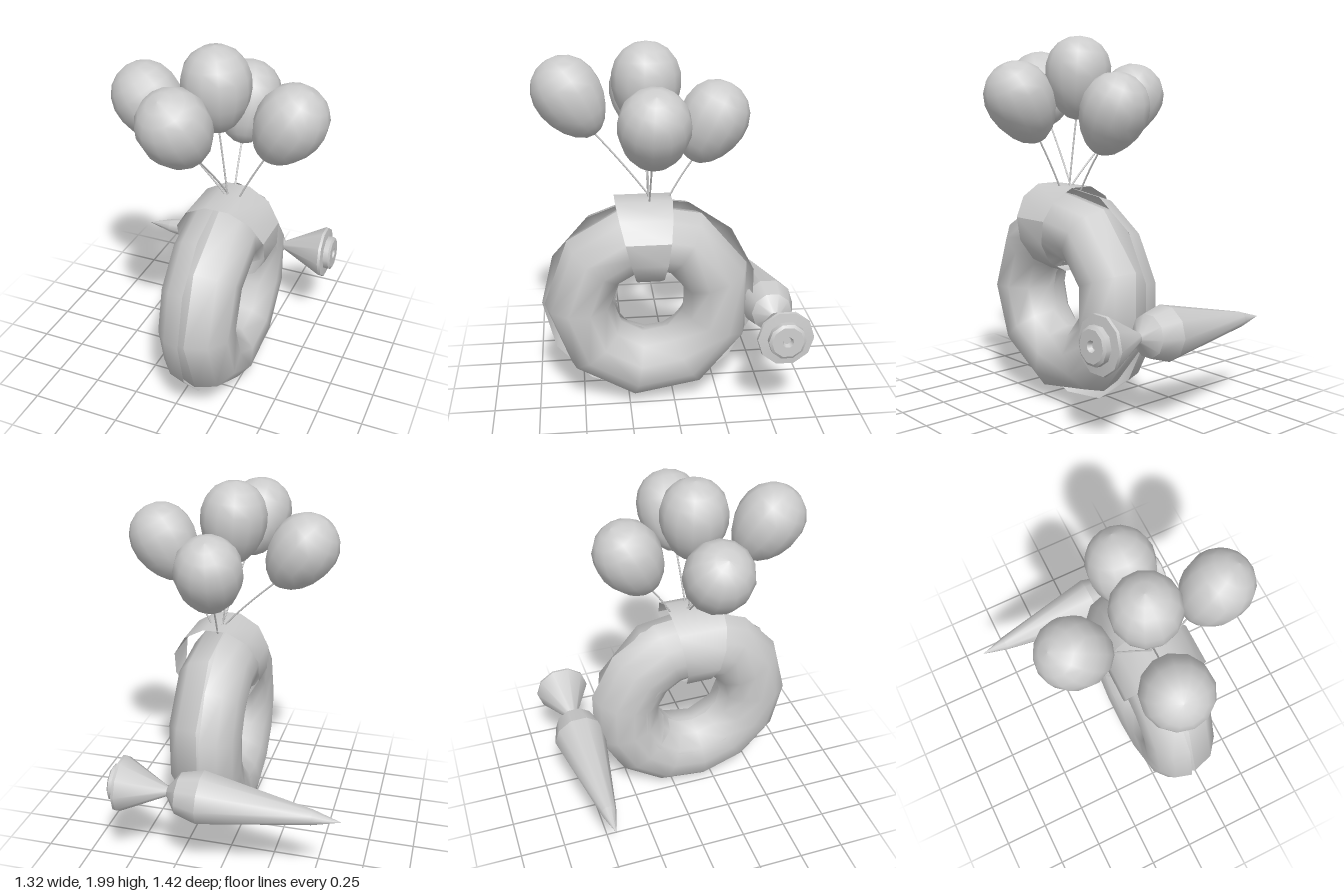
import * as THREE from 'three';
import { mergeGeometries } from 'three/addons/utils/BufferGeometryUtils.js';

const grey = new THREE.MeshStandardMaterial({ color: 0xcccccc });
const greyThin = new THREE.MeshStandardMaterial({ color: 0xcccccc, side: THREE.DoubleSide });
const UP = new THREE.Vector3(0, 1, 0);

function named(name, geometry, material = grey) {
  const mesh = new THREE.Mesh(geometry, material);
  mesh.name = name;
  return mesh;
}

// Elliptical tube section swept around the x axis; the first corner lies at +z
function ringGeometry(radius, radial, halfWidth, from, to, steps, sides) {
  const profile = [];
  for (let i = 0; i <= steps; i++) {
    const a = from + (to - from) * i / steps;
    profile.push(new THREE.Vector2(radius + radial * Math.cos(a), halfWidth * Math.sin(a)));
  }
  return new THREE.LatheGeometry(profile, sides).rotateZ(-Math.PI / 2);
}

// Lathe with a sharp edge at every profile point
function steppedLathe(points, sides) {
  const bands = [];
  for (let i = 1; i < points.length; i++) {
    const pair = [points[i - 1], points[i]].map(p => new THREE.Vector2(p[0], p[1]));
    bands.push(new THREE.LatheGeometry(pair, sides));
  }
  return mergeGeometries(bands);
}

// Egg shape, wide end up
function balloonGeometry() {
  const profile = [];
  for (let i = 0; i <= 10; i++) {
    const a = Math.PI * i / 10;
    profile.push(new THREE.Vector2(
      Math.max(0, 0.178 * Math.sin(a) * (1 - 0.15 * Math.cos(a))), -0.225 * Math.cos(a)));
  }
  return new THREE.LatheGeometry(profile, 13);
}

// Tapered strap around the top of the ring, wider on the outside
function strapGeometry() {
  const steps = 12, positions = [], index = [];
  for (let i = 0; i <= steps; i++) {
    const a = 2 * Math.PI * (i + 0.5) / steps;
    const x = 0.162 + 0.25 * Math.cos(a);
    const y = 0.97 + 0.236 * Math.sin(a);
    const t = (y - 0.74) / 0.46;
    const half = 0.062 + 0.088 * t, mid = 0.135 + 0.025 * t;
    positions.push(x, y, mid + half, x, y, mid - half);
    if (i < steps) {
      const k = 2 * i;
      index.push(k, k + 1, k + 2, k + 2, k + 1, k + 3);
    }
  }
  const g = new THREE.BufferGeometry();
  g.setAttribute('position', new THREE.Float32BufferAttribute(positions, 3));
  g.setIndex(index);
  g.computeVertexNormals();
  return g;
}

export function createModel() {
  const model = new THREE.Group();

  // Doughnut ring and its glaze shell
  const dough = named('doughRing', ringGeometry(0.385, 0.185, 0.198, 0, 2 * Math.PI, 10, 9));
  dough.position.set(0.147, 0.6, 0.13);
  const glaze = named('glazeShell',
    ringGeometry(0.392, 0.2, 0.18, Math.PI, 2 * Math.PI, 6, 13), greyThin);
  glaze.position.set(0.12, 0.595, 0.122);
  model.add(dough, glaze, named('strap', strapGeometry(), greyThin));

  // Balloons: centre, lower tip, and where the string is tied
  const balloons = [
    ['topBalloon', [0.085, 1.775, 0.13], [0.1, 1.55, 0.13], [0.15, 1.19, 0.13]],
    ['rightBalloon', [-0.28, 1.643, 0.125], [-0.145, 1.463, 0.125], [0.14, 1.19, 0.13]],
    ['leftBalloon', [0.462, 1.643, 0.125], [0.35, 1.448, 0.125], [0.205, 1.17, 0.13]],
    ['frontBalloon', [0.045, 1.712, 0.515], [0.08, 1.525, 0.395], [0.15, 1.19, 0.115]],
    ['backBalloon', [0.125, 1.585, -0.2], [0.135, 1.385, -0.1], [0.15, 1.18, 0.03]],
  ];
  const egg = balloonGeometry();
  for (const [name, c, t, b] of balloons) {
    const [centre, tip, base] = [c, t, b].map(p => new THREE.Vector3(...p));
    const axis = centre.clone().sub(tip).normalize();
    const balloon = named(name, egg);
    balloon.position.copy(centre);
    balloon.quaternion.setFromUnitVectors(UP, axis);
    // The string leaves along the balloon axis and bends down to the strap
    const start = centre.clone().addScaledVector(axis, -0.215);
    const bend = start.clone().lerp(base, 0.6);
    bend.y += 0.02;
    const path = new THREE.QuadraticBezierCurve3(start, bend, base);
    model.add(balloon, named(name + 'String', new THREE.TubeGeometry(path, 8, 0.005, 5)));
  }

  // Piping bag lying across the back: pointed end, body, tied neck, flared end, plug
  const bag = named('pipingBag', steppedLathe([
    [0, 0], [0.042, 0.15], [0.146, 0.735], [0.113, 0.855], [0.027, 0.918],
    [0.153, 1.165], [0.15, 1.18], [0.1, 1.185], [0.1, 1.215], [0.085, 1.225],
    [0.03, 1.225], [0.02, 1.2], [0, 1.2],
  ], 10), greyThin);
  bag.position.set(-0.655, 0.462, -0.535);
  bag.quaternion.setFromUnitVectors(UP, new THREE.Vector3(1.22, 0.06, -0.018).normalize());
  model.add(bag);

  return model;
}
